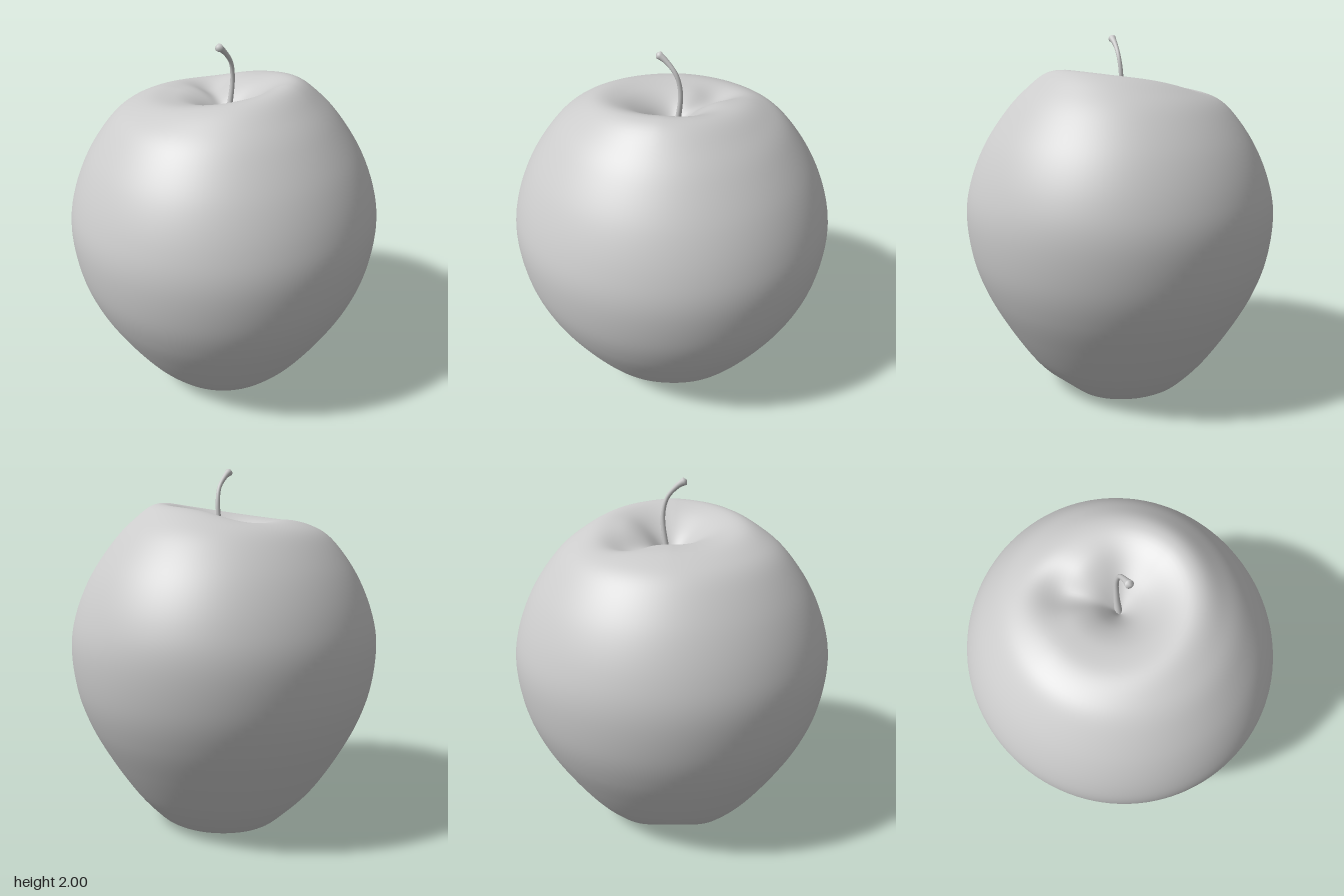
import * as THREE from 'three';
import { mergeVertices } from 'three/addons/utils/BufferGeometryUtils.js';

const v3 = (x, y, z) => new THREE.Vector3(x, y, z);
const bump = (t, width) => Math.exp(-((t / width) ** 2));

// Smooth normals with no seam
function weld(geometry) {
  geometry.deleteAttribute('uv');
  geometry.deleteAttribute('normal');
  const welded = mergeVertices(geometry, 1e-5);
  welded.computeVertexNormals();
  return welded;
}

// Fruit: a lathed profile, with an uneven shoulder and creases in both hollows
function fruitGeometry() {
  const profile = new THREE.SplineCurve([
    [0, 0.2], [0.06, 0.15], [0.13, 0.06], [0.2, 0.012], [0.28, 0], [0.36, 0.02],
    [0.42, 0.07], [0.53, 0.2], [0.66, 0.4], [0.765, 0.6], [0.83, 0.8], [0.853, 1.03],
    [0.82, 1.22], [0.735, 1.42], [0.61, 1.6], [0.5, 1.7], [0.38, 1.762], [0.26, 1.745],
    [0.14, 1.68], [0.05, 1.6], [0, 1.54],
  ].map(([r, y]) => new THREE.Vector2(r, y)));
  const points = profile.getSpacedPoints(120);
  points[0].x = points[120].x = 0;
  const geometry = new THREE.LatheGeometry(points, 112);
  const pos = geometry.attributes.position;

  for (let i = 0; i < pos.count; i++) {
    const x = pos.getX(i), z = pos.getZ(i);
    let y = pos.getY(i);
    const r = Math.hypot(x, z), angle = Math.atan2(z, x);
    const away = (a) => Math.atan2(Math.sin(angle - a), Math.cos(angle - a));
    if (y > 1.03) {
      // Shoulder is highest on the left, with a crease at the back right
      const shoulder = bump(r - 0.36, 0.16);
      y += shoulder * (0.05 * Math.cos(angle) - 0.012 * Math.abs(Math.sin(angle)));
      y -= 0.06 * bump(r - 0.27, 0.14) * bump(away(-2.3), 0.36);
      y += 0.02 * bump(r - 0.2, 0.12) * bump(away(-1.4), 0.5);
    } else {
      // Base creases on both sides
      y += 0.06 * bump(r - 0.26, 0.16) * bump(away(-0.1), 0.3);
      y += 0.055 * bump(r - 0.32, 0.15) * bump(away(3.1), 0.42);
      y = Math.max(y, 0);
    }
    pos.setXYZ(i, x, y, z * 1.03);
  }
  return weld(geometry);
}

// Stem: a curved tube, thick at the root and flared at the cut tip
function stemGeometry() {
  const path = new THREE.CatmullRomCurve3([
    v3(0, 1.51, -0.005), v3(0.012, 1.66, -0.037), v3(0.022, 1.8, -0.048),
    v3(0.022, 1.89, -0.025), v3(0.008, 1.955, 0.03), v3(-0.003, 1.987, 0.078),
  ]);
  const rings = 40, sides = 14;
  const geometry = new THREE.TubeGeometry(path, rings, 1, sides);
  const pos = geometry.attributes.position, p = v3(0, 0, 0);
  for (let i = 0; i < pos.count; i++) {
    const ring = Math.floor(i / (sides + 1)), t = ring / rings;
    const closed = ring === 0 || ring === rings;
    const radius = closed ? 0 : 0.011 + 0.012 * (1 - t) ** 3 + 0.014 * t ** 12;
    const centre = path.getPointAt(t);
    p.fromBufferAttribute(pos, i).sub(centre).multiplyScalar(radius).add(centre);
    pos.setXYZ(i, p.x, p.y, p.z);
  }
  return weld(geometry);
}

export function createModel() {
  const group = new THREE.Group();
  group.name = 'apple';
  const material = new THREE.MeshStandardMaterial({ color: 0xcccccc });
  for (const [name, geometry] of [['fruit', fruitGeometry()], ['stem', stemGeometry()]]) {
    const mesh = new THREE.Mesh(geometry, material);
    mesh.name = name;
    group.add(mesh);
  }
  return group;
}
